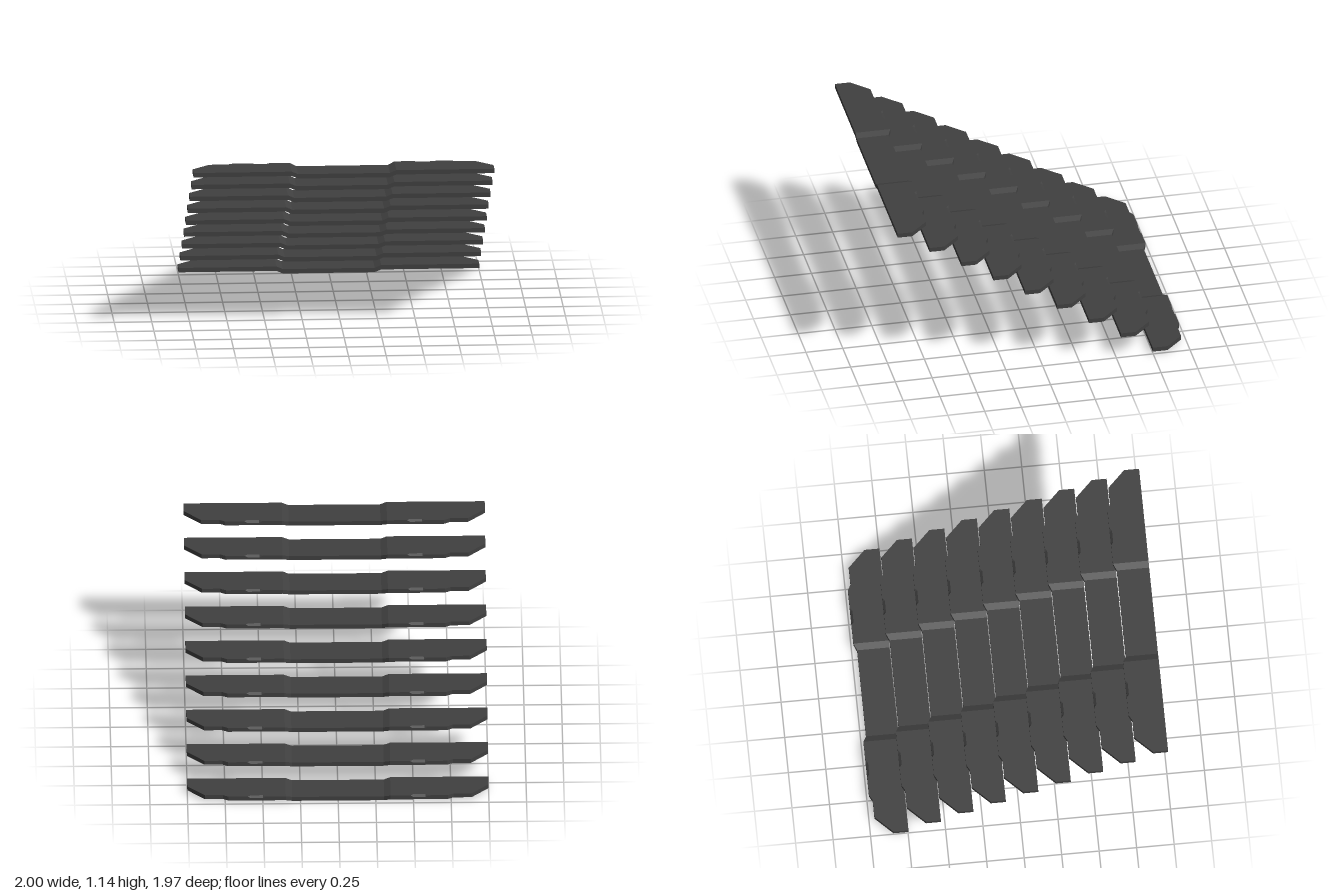
import * as THREE from 'three';

const COUNT = 9, RISE = 0.1363, RUN = 0.2164;
const FRONT = 0.984;            // front edge of the top slat
const THICK = 0.03, DROP = 0.018; // plate thickness, depth of the central dip

// Half of the slat from the middle outwards: [x, depth, raise, scoop depth]
const HALF = [
  [0.305, 0.216, 0, 0],
  [0.348, 0.237, DROP, 0],
  [0.48, 0.237, DROP, 0],
  [0.50, 0.237, DROP, 0.016],
  [0.58, 0.237, DROP, 0.016],
  [0.60, 0.237, DROP, 0],
  [0.727, 0.237, DROP, 0],
  [0.765, 0.216, DROP, 0],
  [0.885, 0.216, DROP, 0],
  [1, 0.1, DROP, 0],
];

// Thin plate lofted along x through five-point cross-sections
function slatGeometry() {
  const mirrored = HALF.map(([x, ...rest]) => [-x, ...rest]).reverse();
  const rings = [...mirrored, ...HALF].map(([x, depth, y, scoop]) => [
    new THREE.Vector3(x, y, 0),
    new THREE.Vector3(x, y + THICK, 0),
    new THREE.Vector3(x, y + THICK, -depth + scoop),
    new THREE.Vector3(x, y + THICK - scoop * 0.8, -depth),
    new THREE.Vector3(x, y, -depth),
  ]);
  const points = [];
  const tri = (a, b, c) => {
    if (new THREE.Triangle(a, b, c).getArea() > 1e-8) points.push(a, b, c);
  };
  for (let i = 0; i < rings.length - 1; i++) {
    const a = rings[i], b = rings[i + 1];
    for (let j = 0; j < 5; j++) {
      const k = (j + 1) % 5;
      tri(a[j], b[j], b[k]);
      tri(a[j], b[k], a[k]);
    }
  }
  // End caps
  const first = rings[0], last = rings[rings.length - 1];
  for (let j = 1; j < 4; j++) {
    tri(first[0], first[j], first[j + 1]);
    tri(last[0], last[j + 1], last[j]);
  }
  const geometry = new THREE.BufferGeometry().setFromPoints(points);
  geometry.computeVertexNormals();
  return geometry;
}

export function createModel() {
  const model = new THREE.Group();
  model.name = 'louvre';
  const geometry = slatGeometry();
  const material = new THREE.MeshStandardMaterial({ color: 0x404040, flatShading: true });

  // Staggered slats, stepping up towards the front
  for (let i = 0; i < COUNT; i++) {
    const slat = new THREE.Mesh(geometry, material);
    slat.name = `slat${i + 1}`;
    slat.position.set(0, i * RISE, FRONT - (COUNT - 1 - i) * RUN);
    model.add(slat);
  }
  return model;
}
